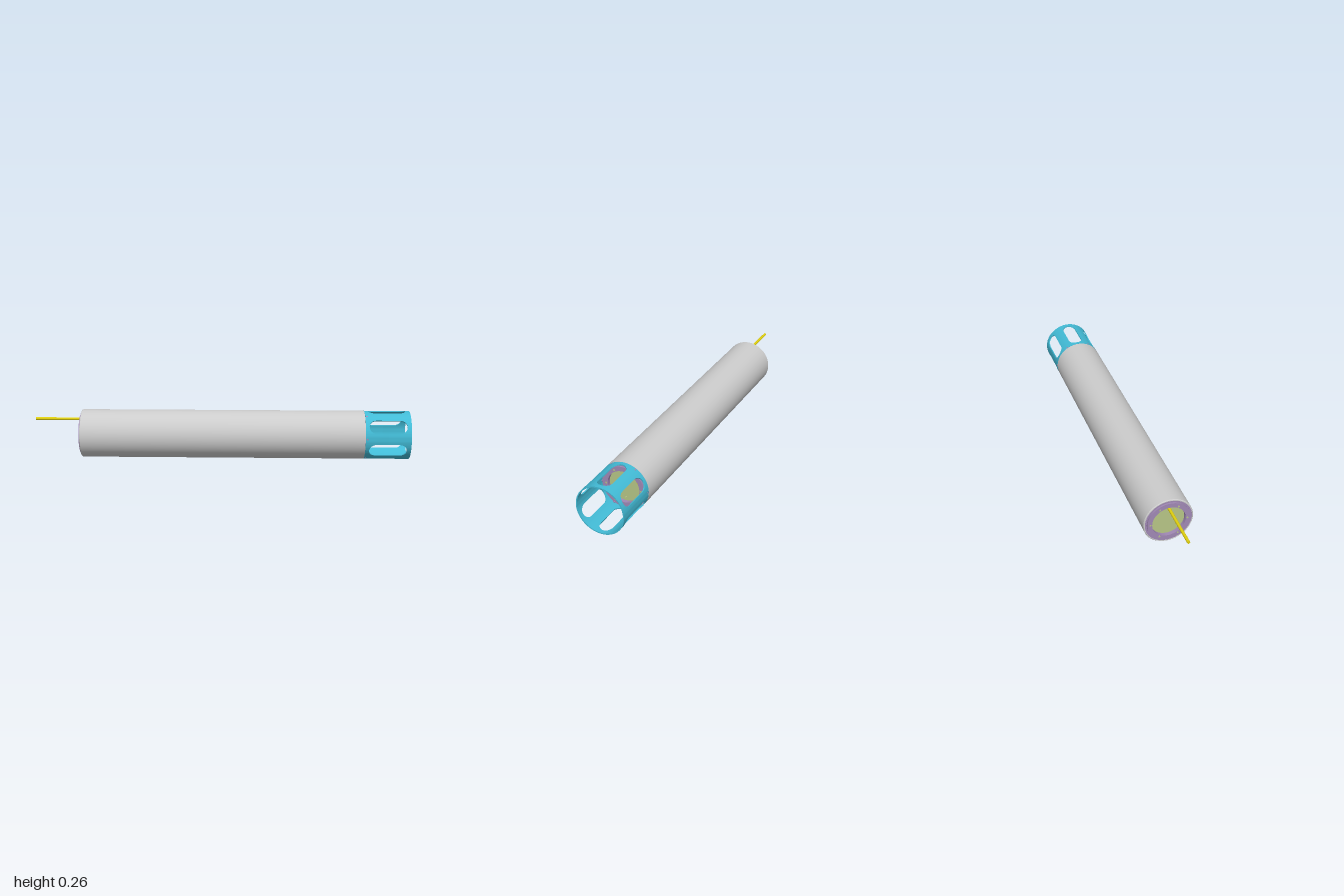
import * as THREE from 'three';
import { toCreasedNormals } from 'three/addons/utils/BufferGeometryUtils.js';

const R = 0.128, WALL = 0.006;
const mat = (color) => new THREE.MeshStandardMaterial({ color });
const grey = mat(0xcccccc), cyan = mat(0x42bbd6), purple = mat(0xa088b4);
const green = mat(0xb6c586), yellow = mat(0xe0d010);

// Solid of revolution about x; profile of [x, radius], outer side running towards +x
function turned(name, profile, material) {
  const pts = profile.map(([x, r]) => new THREE.Vector2(r, x));
  const geo = new THREE.LatheGeometry(pts, 72).rotateZ(-Math.PI / 2);
  const mesh = new THREE.Mesh(toCreasedNormals(geo, 0.5), material);
  mesh.name = name;
  return mesh;
}

// Short rod along x between two stations
function rod(name, x0, x1, y, z, r, material) {
  const geo = new THREE.CylinderGeometry(r, r, x1 - x0, 20).rotateZ(-Math.PI / 2);
  const mesh = new THREE.Mesh(geo, material);
  mesh.position.set((x0 + x1) / 2, y, z);
  mesh.name = name;
  return mesh;
}

// Stations round the guard: angle, and slot half length (0 on the posts)
function guardStations() {
  const half = 0.037, straight = 0.062, out = [];
  for (let k = 0; k < 6; k++) {
    const mid = Math.PI / 2 + k * Math.PI / 3, edge = Math.asin(half / R);
    out.push([mid - edge, 0]);
    for (let i = 0; i <= 16; i++) {
      const t = -Math.PI / 2 + Math.PI * i / 16;
      out.push([mid + Math.asin(half * Math.sin(t) / R), straight + half * Math.cos(t)]);
    }
    out.push([mid + edge, 0]);
    const gap = Math.PI / 3 - 2 * edge;
    for (let i = 1; i < 8; i++) out.push([mid + edge + gap * i / 8, 0]);
  }
  return out;
}

// Ring with rectangular section, swept round x between two varying ends
function sweptRing(stations, ends) {
  const pos = [], index = [], n = stations.length;
  stations.forEach(([a, h], i) => {
    const [lo, hi] = ends(h);
    for (const [x, r] of [[lo, R], [hi, R], [hi, R - WALL], [lo, R - WALL]])
      pos.push(x, r * Math.sin(a), r * Math.cos(a));
    for (let j = 0; j < 4; j++) {
      const p = i * 4 + j, q = i * 4 + (j + 1) % 4;
      const p2 = ((i + 1) % n) * 4 + j, q2 = ((i + 1) % n) * 4 + (j + 1) % 4;
      index.push(p, q, q2, p, q2, p2);
    }
  });
  const geo = new THREE.BufferGeometry();
  geo.setAttribute('position', new THREE.Float32BufferAttribute(pos, 3));
  geo.setIndex(index);
  return toCreasedNormals(geo, 0.5);
}

// Stepped collar and recessed plate with screws, facing +x
function endCap(name, face) {
  const cap = new THREE.Group();
  cap.name = name;
  cap.add(turned('collar', [
    [face - 0.1, 0.086], [face - 0.1, 0.121], [face - 0.008, 0.121], [face - 0.008, 0.111],
    [face, 0.111], [face, 0.086], [face - 0.1, 0.086],
  ], purple));
  for (let k = 0; k < 6; k++) {
    const a = k * Math.PI / 3;
    cap.add(rod('screw', face - 0.02, face + 0.001, 0.095 * Math.sin(a), 0.095 * Math.cos(a), 0.005, green));
  }
  return cap;
}

// Plate with round blind holes, facing +x; holes of [y, z, radius]
function plate(front, holes) {
  const shape = new THREE.Shape().absarc(0, 0, 0.0862, 0, Math.PI * 2);
  for (const [y, z, r] of holes)
    shape.holes.push(new THREE.Path().absarc(-z, y, r, 0, Math.PI * 2, true));
  const geo = new THREE.ExtrudeGeometry(shape, { depth: 0.012, bevelEnabled: false, curveSegments: 32 });
  geo.rotateY(Math.PI / 2).translate(front - 0.012, 0, 0);
  const group = new THREE.Group();
  group.name = 'plate';
  group.add(new THREE.Mesh(toCreasedNormals(geo, 0.5), green));
  group.add(rod('plateBack', front - 0.03, front - 0.012, 0, 0, 0.0862, green));
  group.children[0].name = 'plateFront';
  return group;
}

export function createModel() {
  const model = new THREE.Group();
  model.name = 'probe';
  model.position.y = R;

  // Main housing tube with softened rear edge
  model.add(turned('housing', [
    [-0.748, 0.121], [-0.748, 0.125], [-0.744, R], [0.76, R], [0.76, 0.121], [-0.748, 0.121],
  ], grey));

  // Slotted guard: two rings that meet along the posts between the slots
  const guard = new THREE.Group();
  guard.name = 'slottedGuard';
  const stations = guardStations(), mid = 0.879;
  for (const [name, ends] of [
    ['guardBase', (h) => [0.761, mid - h]],
    ['guardRim', (h) => [mid + h, 1]],
  ]) {
    const mesh = new THREE.Mesh(sweptRing(stations, ends), cyan);
    mesh.name = name;
    guard.add(mesh);
  }
  // Radial pins holding the guard
  for (let k = 0; k < 6; k++) {
    const pin = new THREE.Mesh(new THREE.CylinderGeometry(0.005, 0.005, 0.01, 16), purple);
    const a = k * Math.PI / 3;
    pin.position.set(0.769, (R - 0.0045) * Math.sin(a), (R - 0.0045) * Math.cos(a));
    pin.rotation.x = Math.PI / 2 - a;
    pin.name = 'guardPin';
    guard.add(pin);
  }
  model.add(guard);

  // Sensor end
  const sensorCap = endCap('sensorEnd', 0.777);
  sensorCap.add(plate(0.757, [[0.036, 0.06, 0.019], [-0.066, 0, 0.005]]));
  sensorCap.add(rod('sensorTip', 0.745, 0.76, 0.029, -0.07, 0.0065, yellow));
  model.add(sensorCap);

  // Cable end, turned to face -x
  const cableCap = endCap('cableEnd', 0.754);
  cableCap.add(plate(0.734, []));
  cableCap.rotation.y = Math.PI;
  model.add(cableCap);
  model.add(rod('cable', -1, -0.72, 0.077, 0, 0.0075, yellow));

  return model;
}
